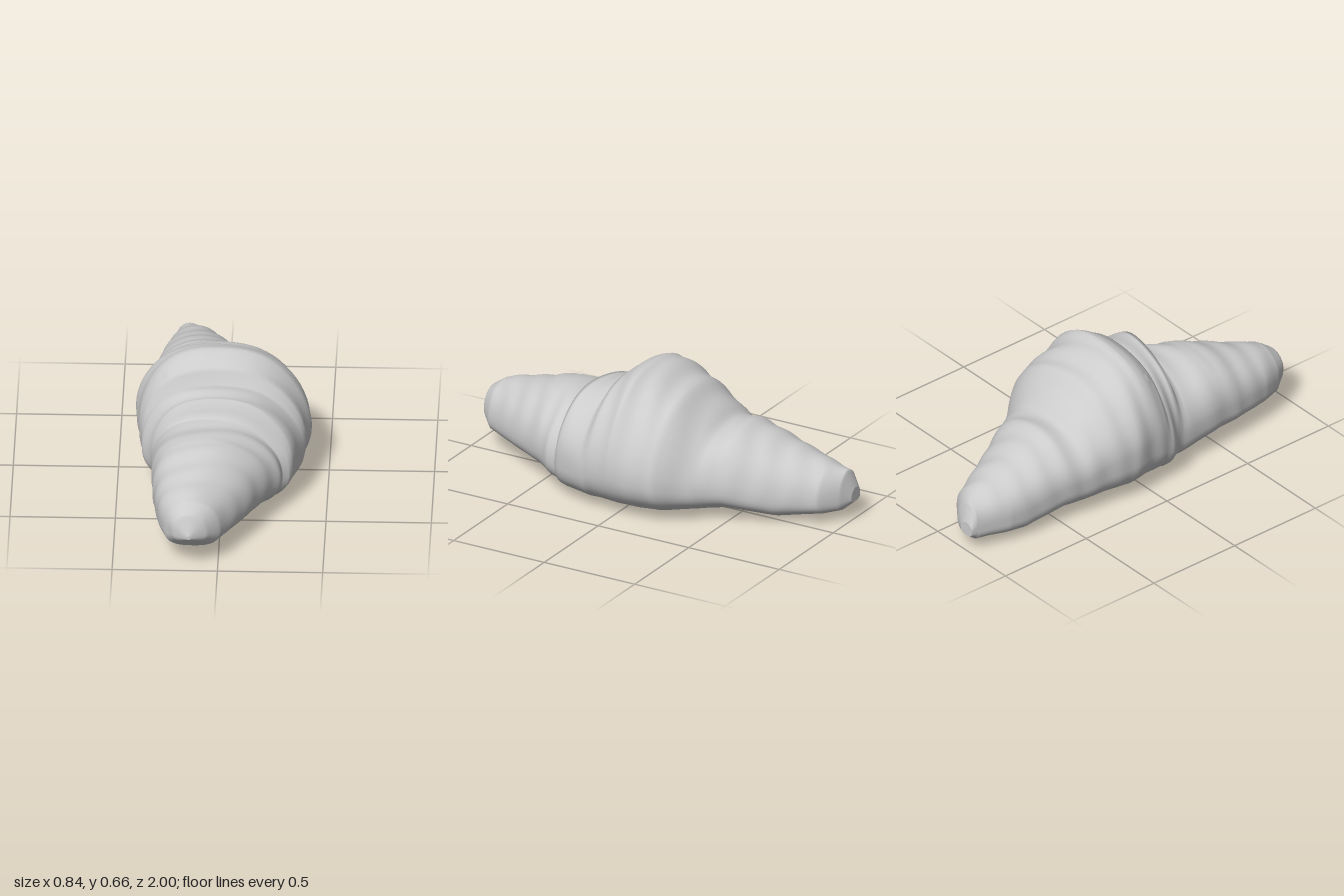
import * as THREE from 'three';

// Outlines as [z, value], from the back tip to the front tip
const RIGHT_SIDE = [[-1, -0.25], [-0.8, -0.31], [-0.4, -0.36], [-0.1, -0.415], [0.2, -0.38],
  [0.3, -0.335], [0.6, -0.32], [0.8, -0.29], [0.9, -0.255], [0.96, -0.215], [1, -0.145]];
const LEFT_SIDE = [[-1, -0.17], [-0.97, -0.11], [-0.9, -0.02], [-0.4, 0.24], [-0.22, 0.39],
  [0, 0.415], [0.12, 0.39], [0.29, 0.325], [0.3, 0.295], [0.4, 0.28], [0.7, 0.125],
  [0.9, 0.01], [0.96, -0.05], [1, -0.13]];
const CREST = [[-1, 0.16], [-0.97, 0.25], [-0.8, 0.31], [-0.48, 0.425], [-0.38, 0.425],
  [-0.22, 0.57], [0, 0.67], [0.12, 0.61], [0.14, 0.535], [0.28, 0.53], [0.3, 0.435],
  [0.5, 0.44], [0.9, 0.325], [0.96, 0.28], [1, 0.19]];
const BASE = [[-1, 0.09], [-0.96, 0.055], [-0.7, 0.015], [-0.48, 0.04], [-0.1, 0.003],
  [0.26, 0.003], [0.5, 0.05], [0.9, 0.085], [1, 0.17]];
const SIDES = 64, RINGS = 180;

// Value of an outline at z
function along(outline, z) {
  const i = Math.max(1, outline.findIndex(([pz]) => pz >= z));
  const [za, a] = outline[i - 1], [zb, b] = outline[i];
  return THREE.MathUtils.mapLinear(z, za, zb, a, b);
}

const bell = (z, centre, width) => Math.exp(-(((z - centre) / width) ** 2));

// Soft folds winding diagonally round the dough
function folds(angle, z) {
  const up = 0.5 + 0.5 * Math.sin(angle);
  const ridges = Math.sin(z * 48 + 1.5 * Math.cos(angle) + 0.8 * Math.sin(3 * angle));
  const dents = Math.sin(4 * angle + z * 9) * Math.sin(z * 13 - 2 * angle);
  return 1 + (ridges + dents) * up * 0.015;
}

// Rounded top, flattened base; the front wraps run slightly askew
function sectionPoint(z, angle) {
  const x0 = along(RIGHT_SIDE, z), x1 = along(LEFT_SIDE, z);
  const y0 = along(BASE, z), y1 = along(CREST, z);
  const c = Math.cos(angle), s = Math.sin(angle);
  const power = s >= 0 ? 0.95 : 0.72;
  const px = Math.sign(c) * Math.abs(c) ** power;
  const py = Math.sign(s) * Math.abs(s) ** power;
  const half = (x1 - x0) / 2, mid = y0 + (y1 - y0) * 0.38, f = folds(angle, z);
  const lean = half * (0.14 * bell(z, 0.23, 0.08) - 0.08);
  const x = (x0 + x1) / 2 + half * px * f + lean * Math.max(0, py);
  const y = mid + (py > 0 ? (y1 - mid) * py * f : (mid - y0) * py);
  return [x, y, z + 0.18 * bell(z, 0.28, 0.13) * x];
}

// Skin over all cross-sections, closed at both tips
function dough() {
  const pos = [], index = [];
  for (let i = 0; i <= RINGS; i++) {
    const z = Math.sin((i / RINGS - 0.5) * Math.PI);
    for (let j = 0; j < SIDES; j++) pos.push(...sectionPoint(z, j / SIDES * Math.PI * 2));
  }
  for (const z of [-1, 1])
    pos.push((along(RIGHT_SIDE, z) + along(LEFT_SIDE, z)) / 2, (along(BASE, z) + along(CREST, z)) / 2, z);
  const last = RINGS * SIDES, backTip = last + SIDES;
  for (let j = 0; j < SIDES; j++) {
    const k = (j + 1) % SIDES;
    for (let i = 0; i < last; i += SIDES)
      index.push(i + j, i + k, i + k + SIDES, i + j, i + k + SIDES, i + j + SIDES);
    index.push(backTip, k, j, backTip + 1, last + j, last + k);
  }
  const g = new THREE.BufferGeometry();
  g.setAttribute('position', new THREE.Float32BufferAttribute(pos, 3));
  g.setIndex(index);
  g.computeVertexNormals();
  return g;
}

export function createModel() {
  const group = new THREE.Group();
  group.name = 'croissant';
  const crust = new THREE.MeshStandardMaterial({ color: 0xcccccc });
  const body = new THREE.Mesh(dough(), crust);
  body.name = 'rolledDough';
  group.add(body);

  // Loose end of the outer layer, tucked against the right shoulder
  const flap = new THREE.Mesh(new THREE.SphereGeometry(1, 24, 16), crust);
  flap.name = 'pastryFlap';
  flap.scale.set(0.07, 0.1, 0.09);
  flap.position.set(-0.245, 0.5, 0.02);
  flap.rotation.z = -0.5;
  group.add(flap);
  return group;
}
